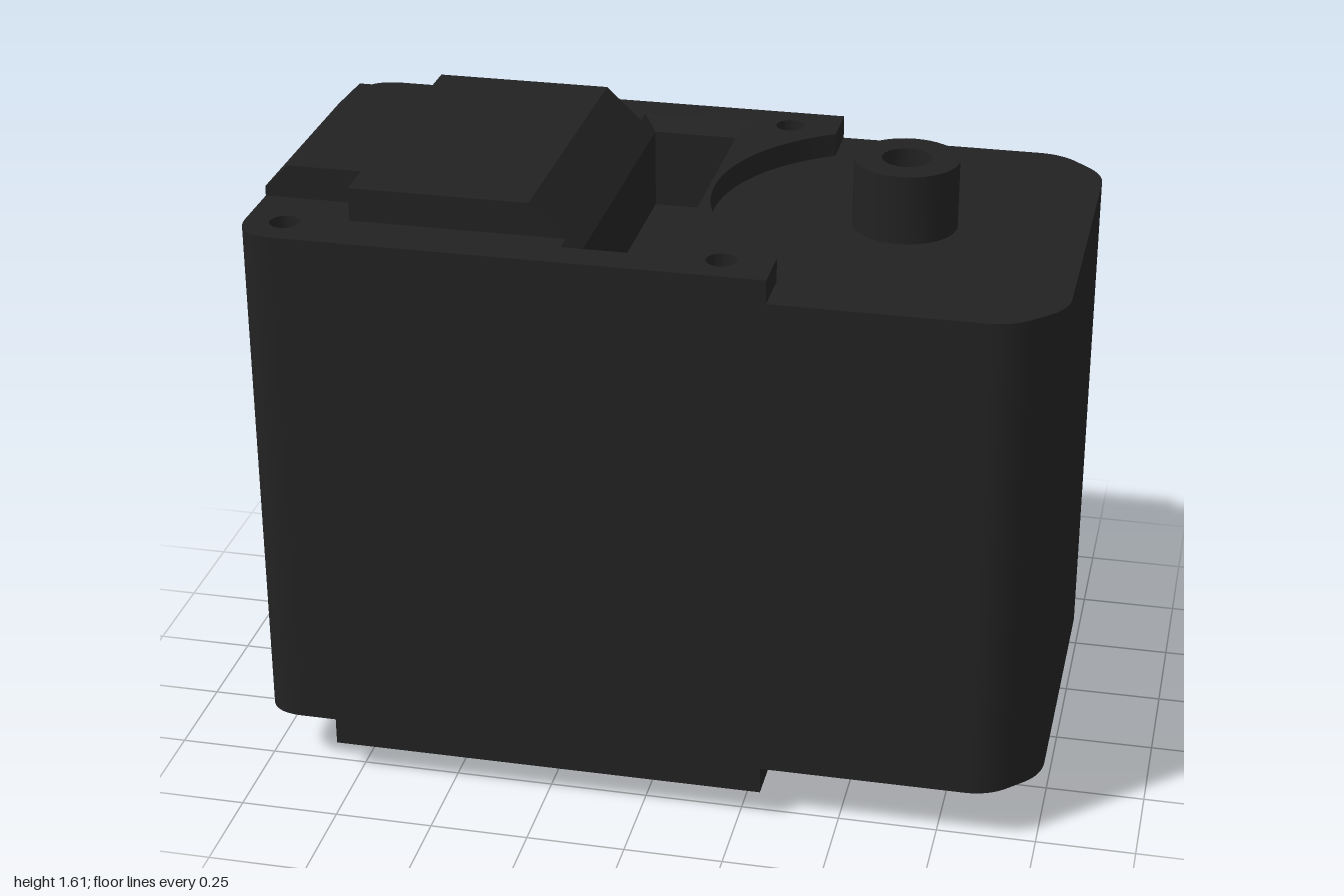
import * as THREE from 'three';
import { toCreasedNormals } from 'three/addons/utils/BufferGeometryUtils.js';

const HALF = 0.545;            // half depth of the case
const SHAFT_X = 0.55;          // axis of both shafts
const ARC_R = 0.48;            // clearance round the shafts
const SCREW_R = 0.038;
const SCREWS = [[-0.9, 0.445], [-0.9, -0.445], [0.18, 0.45], [0.18, -0.45]];

export function createModel() {
  const model = new THREE.Group();
  const mat = new THREE.MeshStandardMaterial({ color: 0x222222 });

  const add = (name, geometry) => {
    const mesh = new THREE.Mesh(toCreasedNormals(geometry, 0.6), mat);
    mesh.name = name;
    model.add(mesh);
    return mesh;
  };

  // Extrude a plan outline (x, z) upward from y0 to y1
  const slab = (shape, y0, y1) =>
    new THREE.ExtrudeGeometry(shape, { depth: y1 - y0, bevelEnabled: false, curveSegments: 20 })
      .rotateX(-Math.PI / 2).translate(0, y0, 0);

  // Extrude a side profile (x, y) across the depth
  const profile = (points, halfZ) =>
    new THREE.ExtrudeGeometry(new THREE.Shape(points.map(p => new THREE.Vector2(...p))),
      { depth: 2 * halfZ, bevelEnabled: false }).translate(0, 0, -halfZ);

  // Polygon with each corner [x, y, r] softened by r
  const softPolygon = corners => {
    const shape = new THREE.Shape();
    const n = corners.length;
    const toward = (a, b) => {
      const d = Math.hypot(b[0] - a[0], b[1] - a[1]);
      return [a[0] + (b[0] - a[0]) * a[2] / d, a[1] + (b[1] - a[1]) * a[2] / d];
    };
    corners.forEach((c, i) => {
      const start = toward(c, corners[(i + n - 1) % n]);
      const end = toward(c, corners[(i + 1) % n]);
      if (i === 0) shape.moveTo(...start); else shape.lineTo(...start);
      shape.quadraticCurveTo(c[0], c[1], ...end);
    });
    shape.closePath();
    return shape;
  };

  const rectHole = (x0, x1, z) => new THREE.Path(
    [[x0, -z], [x0, z], [x1, z], [x1, -z]].map(p => new THREE.Vector2(...p)));
  const screwHole = ([x, z]) => new THREE.Path().absarc(x, z, SCREW_R, 0, Math.PI * 2, true);

  // Finish an outline with the scooped edge that clears the shaft
  const scoop = (shape, z) => {
    const a = Math.asin(z / ARC_R);
    shape.absarc(SHAFT_X, 0, ARC_R, Math.PI + a, Math.PI - a, true);
    return shape;
  };

  // Main case
  const body = softPolygon([
    [-1, -HALF, 0.1], [0.88, -HALF, 0.06], [1, -0.425, 0.06],
    [1, 0.425, 0.06], [0.88, HALF, 0.06], [-1, HALF, 0.1]]);
  body.holes.push(rectHole(-0.21, 0.06, 0.455), ...SCREWS.map(screwHole));
  add('case', slab(body, 0.15, 1.43));

  // Screws sunk in the case
  for (const [x, z] of SCREWS) {
    add('screw', new THREE.CylinderGeometry(SCREW_R + 0.002, SCREW_R + 0.002, 1.14, 20)
      .translate(x, 0.79, z));
  }

  // Top cover
  const edgeZ = 0.413;
  const top = new THREE.Shape();
  top.moveTo(-1, -HALF + 0.1);
  top.quadraticCurveTo(-1, -HALF, -0.9, -HALF);
  top.lineTo(0.305, -HALF);
  scoop(top, edgeZ);
  top.lineTo(0.305, HALF);
  top.lineTo(-0.9, HALF);
  top.quadraticCurveTo(-1, HALF, -1, HALF - 0.1);
  top.closePath();
  top.holes.push(rectHole(-0.21, 0.065, 0.455), ...SCREWS.map(screwHole));
  add('topCover', slab(top, 1.43, 1.49));

  // Socket lining: bevelled mouth, straight walls and floor
  const loops = [[-0.21, 0.065, 0.455, 1.49], [-0.175, 0.04, 0.42, 1.455], [-0.175, 0.04, 0.42, 1.25]];
  const pos = loops.flatMap(([x0, x1, z, y]) => [x0, y, -z, x1, y, -z, x1, y, z, x0, y, z]);
  const index = [8, 10, 9, 8, 11, 10];
  for (let l = 0; l < 2; l++) {
    for (let i = 0; i < 4; i++) {
      const a = l * 4 + i, b = l * 4 + (i + 1) % 4;
      index.push(a, a + 4, b, b, a + 4, b + 4);
    }
  }
  const socket = new THREE.BufferGeometry();
  socket.setAttribute('position', new THREE.Float32BufferAttribute(pos, 3));
  socket.setIndex(index);
  const lining = add('socketLining', socket);
  lining.material = mat.clone();
  lining.material.side = THREE.DoubleSide;

  // Raised block on the top cover, with a narrower nose
  add('topBlock', profile([[-0.75, 1.49], [-0.21, 1.49], [-0.3, 1.575], [-0.75, 1.575]], 0.405));
  add('topBlockNose', profile(
    [[-1, 1.49], [-0.75, 1.49], [-0.75, 1.575], [-0.94, 1.575], [-1, 1.515]], 0.295));

  // Bottom cover
  const bottom = new THREE.Shape();
  bottom.moveTo(-0.81, -HALF);
  bottom.lineTo(0.305, -HALF);
  scoop(bottom, edgeZ);
  bottom.lineTo(0.305, HALF);
  bottom.lineTo(-0.81, HALF);
  bottom.closePath();
  bottom.holes.push(...SCREWS.slice(2).map(screwHole));
  add('bottomCover', slab(bottom, 0.08, 0.15));

  // Raised panel under the bottom cover, with a bevelled nose
  const panel = new THREE.Shape();
  panel.moveTo(-0.585, -0.43);
  panel.lineTo(0.045, -0.43);
  panel.lineTo(0.045, -0.31);
  scoop(panel, 0.31);
  panel.lineTo(0.045, 0.31);
  panel.lineTo(0.045, 0.43);
  panel.lineTo(-0.585, 0.43);
  panel.closePath();
  add('bottomPanel', slab(panel, 0.03, 0.08));
  add('bottomPanelNose', profile(
    [[-1, 0.15], [-1, 0.09], [-0.94, 0.03], [-0.585, 0.03], [-0.585, 0.15]], 0.31));

  // Plain upper shaft with a drilled centre
  const shaft = [[0.13, 1.43], [0.13, 1.605], [0.062, 1.605], [0.062, 1.5], [0, 1.46]];
  add('upperShaft', new THREE.LatheGeometry(shaft.map(p => new THREE.Vector2(...p)), 40)
    .translate(SHAFT_X, 0, 0));

  // Splined output shaft
  const TEETH = 25;
  const spline = new THREE.Shape();
  for (let i = 0; i < TEETH * 4; i++) {
    const r = i % 4 < 2 ? 0.13 : 0.118;
    const a = (i + 0.5) / (TEETH * 4) * Math.PI * 2;
    spline[i ? 'lineTo' : 'moveTo'](r * Math.cos(a), r * Math.sin(a));
  }
  spline.closePath();
  spline.holes.push(new THREE.Path().absarc(0, 0, 0.062, 0, Math.PI * 2, true));
  add('outputShaft', slab(spline, 0, 0.15).translate(SHAFT_X, 0, 0));
  add('outputShaftBore', new THREE.CylinderGeometry(0.064, 0.064, 0.05, 32)
    .translate(SHAFT_X, 0.135, 0));

  return model;
}
